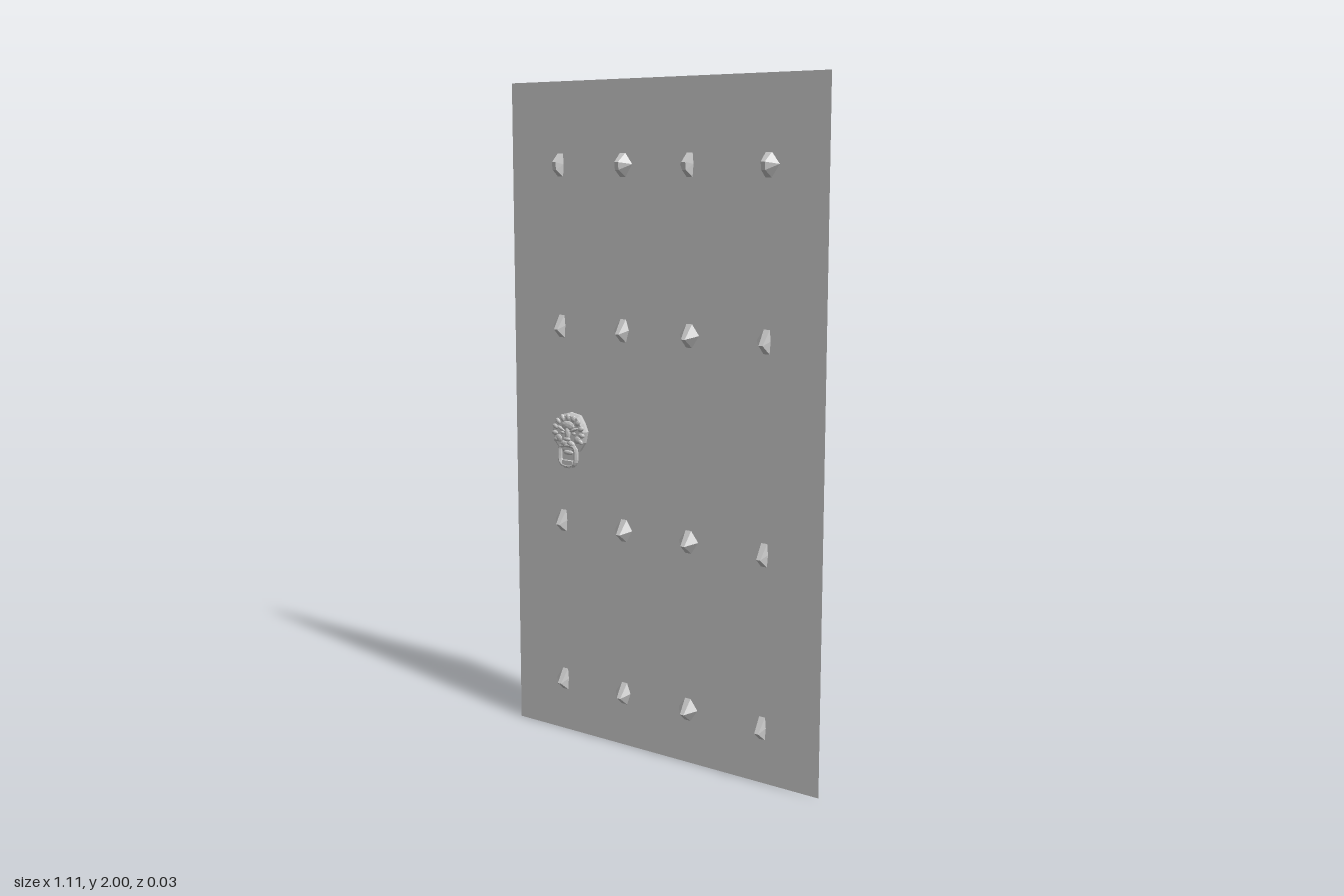
import * as THREE from 'three';
import { ConvexGeometry } from 'three/addons/geometries/ConvexGeometry.js';

const material = new THREE.MeshStandardMaterial({ color: 0xcccccc, flatShading: true });
const panelMaterial = new THREE.MeshStandardMaterial({ color: 0xcccccc, side: THREE.DoubleSide });
const BACK = -0.016, TIP = 0.016;

function add(parent, name, geometry, x = 0, y = 0, z = 0) {
  const mesh = new THREE.Mesh(geometry, material);
  mesh.name = name;
  mesh.position.set(x, y, z);
  parent.add(mesh);
  return mesh;
}

// Faceted diamond stud; left and right give how far each side reaches from its middle
function studGeometry(left, right, blunt) {
  const base = BACK + 0.0005, peak = blunt ? 0.008 : -0.008;
  const points = [
    [-left, 0.002, base], [right, 0.002, base],
    [-0.011, 0.034, base], [0.009, 0.034, base],
    [-0.011, -0.034, base], [0.009, -0.034, base],
    [-0.007, peak, TIP], [0.006, peak, TIP],
  ];
  if (blunt) points.push([-0.007, -0.014, TIP - 0.003], [0.006, -0.014, TIP - 0.003]);
  return new ConvexGeometry(points.map(p => new THREE.Vector3(...p)));
}

// Faceted lump from a flattened low-poly sphere
function lump(parent, name, x, y, z, sx, sy, sz, turn = 0) {
  const mesh = add(parent, name, new THREE.IcosahedronGeometry(1, 1), x, y, z);
  mesh.scale.set(sx, sy, sz);
  mesh.rotation.z = turn;
  return mesh;
}

function createKnocker() {
  const knocker = new THREE.Group();
  knocker.name = 'lionKnocker';

  // Mane plate: stacked outlines shrinking toward the front
  const outline = [[-0.034, 0.077], [0.002, 0.087], [0.04, 0.08], [0.055, 0.057], [0.066, 0.032],
    [0.058, -0.002], [0.038, -0.03], [0, -0.04], [-0.034, -0.036], [-0.06, -0.006], [-0.066, 0.028], [-0.055, 0.055]];
  const levels = [[1, -0.0155], [1, -0.006], [0.86, 0.002]];
  const hull = levels.flatMap(([s, z]) =>
    outline.map(([x, y]) => new THREE.Vector3(x * s, 0.025 + (y - 0.025) * s, z)));
  add(knocker, 'mane', new ConvexGeometry(hull));

  // Mane locks around the face
  for (let i = 0; i < 11; i++) {
    const a = -0.5 + i * (Math.PI + 1) / 10;
    lump(knocker, 'maneLock', 0.052 * Math.cos(a), 0.025 + 0.048 * Math.sin(a), 0.001, 0.012, 0.008, 0.006, a);
  }

  // Face
  lump(knocker, 'forehead', 0, 0.046, 0.002, 0.026, 0.016, 0.007);
  lump(knocker, 'noseBridge', 0, 0.024, 0.004, 0.01, 0.022, 0.008);
  lump(knocker, 'nose', 0, 0.006, 0.007, 0.014, 0.007, 0.006);
  for (const s of [-1, 1]) {
    lump(knocker, 'brow', s * 0.024, 0.036, 0.003, 0.018, 0.005, 0.006, s * 0.4);
    lump(knocker, 'eye', s * 0.022, 0.024, 0.002, 0.008, 0.005, 0.004);
    lump(knocker, 'cheek', s * 0.036, 0.006, 0.001, 0.014, 0.012, 0.006, s * 0.6);
    lump(knocker, 'muzzle', s * 0.013, -0.008, 0.004, 0.016, 0.01, 0.007, s * -0.3);
  }
  lump(knocker, 'chin', 0, -0.036, 0.001, 0.02, 0.008, 0.006);

  // Long ring hanging from the mouth
  const path = new THREE.CatmullRomCurve3([
    [-0.027, -0.018], [-0.031, -0.04], [-0.029, -0.064], [-0.016, -0.075],
    [0.016, -0.075], [0.029, -0.064], [0.031, -0.04], [0.027, -0.018],
  ].map(([x, y]) => new THREE.Vector3(x, y, 0.003)), true);
  add(knocker, 'ring', new THREE.TubeGeometry(path, 28, 0.0075, 6, true));
  add(knocker, 'ringStriker', new THREE.BoxGeometry(0.04, 0.02, 0.012), 0, -0.07, 0.003);
  return knocker;
}

export function createModel() {
  const door = new THREE.Group();
  door.name = 'door';

  // Door panel
  const panel = add(door, 'doorPanel', new THREE.PlaneGeometry(1.11, 2), 0, 1, BACK);
  panel.material = panelMaterial;

  // Studs: each row lists its four [left reach, right reach]
  const N = 0.012, W = 0.034;
  const columns = [-0.366, -0.132, 0.105, 0.366];
  const rows = [
    { y: 1.757, blunt: true, reach: [[W, N], [N, W], [W, N], [N, W]] },
    { y: 1.277, reach: [[W, N], [W, 0.02], [W, W], [W, N]] },
    { y: 0.675, reach: [[W, N], [W, 0.03], [W, W], [N, N]] },
    { y: 0.165, reach: [[W, N], [W, 0.022], [W, W], [N, N]] },
  ];
  for (const { y, blunt, reach } of rows) {
    reach.forEach(([l, r], i) => add(door, 'stud', studGeometry(l, r, blunt), columns[i], y));
  }

  // Knocker
  const knocker = createKnocker();
  knocker.position.set(-0.333, 0.93, 0);
  door.add(knocker);
  return door;
}
